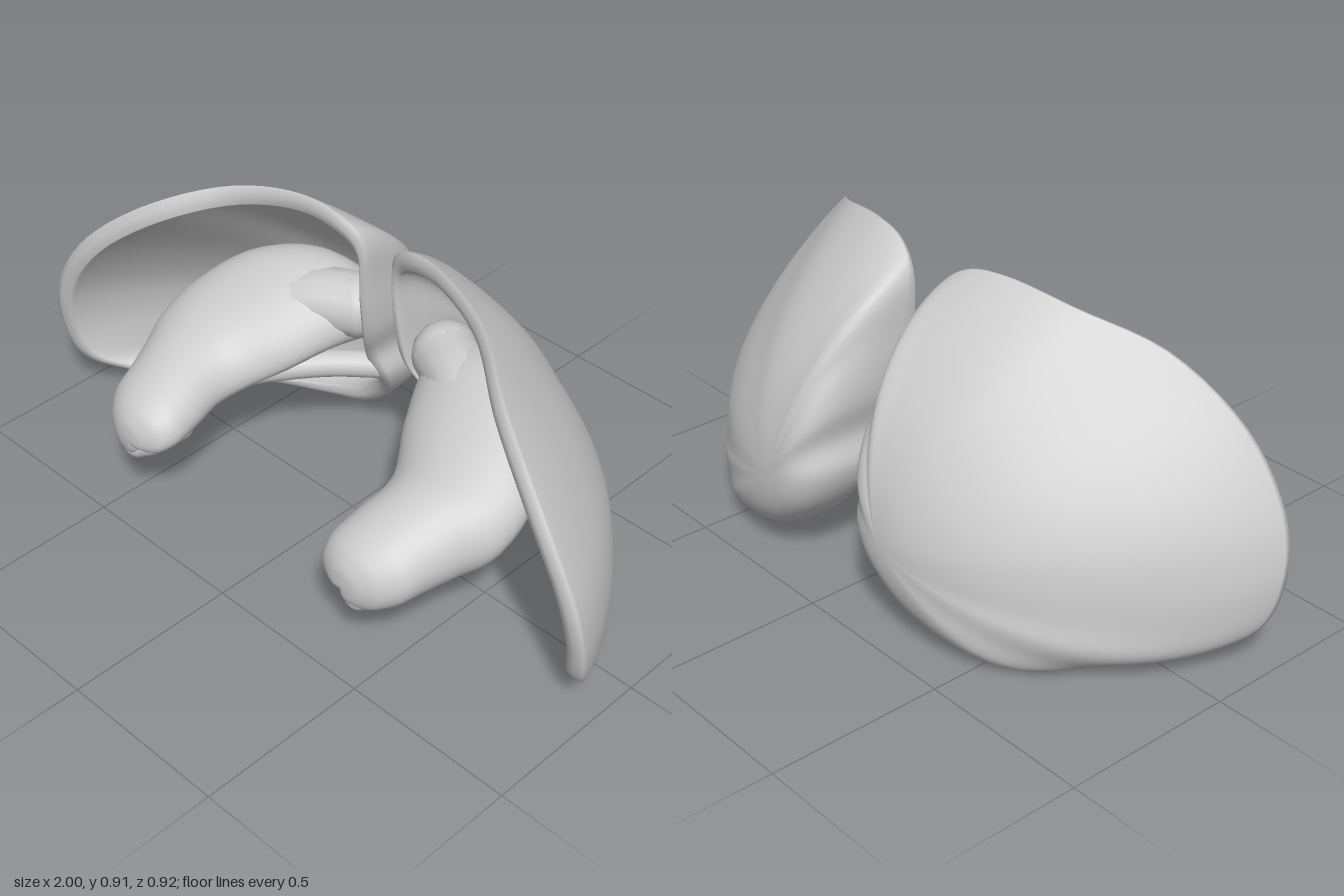
import * as THREE from 'three';
import { mergeVertices } from 'three/addons/utils/BufferGeometryUtils.js';

const material = new THREE.MeshStandardMaterial({ color: 0xcccccc, side: THREE.DoubleSide });
const V = (x, y, z) => new THREE.Vector3(x, y, z);

// Rim of one cupped half, clockwise seen from the front: x, y, z, roundness of the wall
const RIM = [
  [.06, .84, -.09, 1.3], [.13, .9, -.07, 1.75], [.25, .918, -.05, 2], [.45, .88, .01, 2],
  [.65, .79, .14, 1.9], [.85, .62, .22, 1.75], [.97, .43, .235, 1.65], [1, .28, .22, 1.6],
  [.975, .14, .18, 1.5], [.9, .07, .08, 1.3], [.75, .03, -.07, 1.1], [.6, .006, -.23, .95],
  [.4, .03, -.3, .85], [.25, .085, -.3, .75], [.12, .2, -.27, .65], [.065, .32, -.21, .6],
  [.08, .41, -.18, .6], [.055, .52, -.13, .65], [.05, .68, -.1, .9],
];
const BACK = V(.235, .28, -.462);

// Skin a list of closed rings; side = -1 mirrors across x
function loft(rings, side) {
  const n = rings[0].length, pos = [], idx = [];
  rings.forEach(r => r.forEach(p => pos.push(p.x * side, p.y, p.z)));
  for (let i = 0; i < rings.length - 1; i++) {
    for (let j = 0; j < n; j++) {
      const k = (j + 1) % n;
      const a = i * n + j, b = a + n, c = (i + 1) * n + k, d = i * n + k;
      if (side > 0) idx.push(a, b, c, a, c, d);
      else idx.push(a, c, b, a, d, c);
    }
  }
  let g = new THREE.BufferGeometry();
  g.setAttribute('position', new THREE.Float32BufferAttribute(pos, 3));
  g.setIndex(idx);
  g = mergeVertices(g, 1e-4);
  g.computeVertexNormals();
  return g;
}

// Bowl ring between the deepest point (t = 0) and the rim (t = 1)
function bowlRing(rim, round, apex, t) {
  const s = Math.sin(t * Math.PI / 2), c = Math.max(0, Math.cos(t * Math.PI / 2));
  return rim.map((p, j) => {
    const e = round[j];
    const f = Math.pow(s, THREE.MathUtils.clamp(e, .65, 1));
    const d = t === 1 ? 0 : Math.pow(c, e);
    return V(apex.x + (p.x - apex.x) * f, apex.y + (p.y - apex.y) * f, p.z + (apex.z - p.z) * d);
  });
}

// Cupped shell: outer skin, rounded lip, inner skin
function shellGeometry(side) {
  const N = 96, STEPS = 18;
  const curve = new THREE.CatmullRomCurve3(RIM.map(r => V(r[0], r[1], r[2])), true);
  const bulge = new THREE.CatmullRomCurve3(RIM.map(r => V(r[3], 0, 0)), true, 'catmullrom');
  const rim = [], round = [], lip = [], inner = [];
  for (let j = 0; j < N; j++) {
    const p = curve.getPoint(j / N);
    const inward = V(BACK.x - p.x, BACK.y - p.y, 0).normalize();
    rim.push(p);
    round.push(bulge.getPoint(j / N).x);
    lip.push(p.clone().addScaledVector(inward, .025).add(V(0, 0, .01)));
    inner.push(p.clone().addScaledVector(inward, .055));
  }
  const apex = BACK.clone().add(V(.03, .01, .08));
  const rings = [];
  for (let i = 0; i <= STEPS; i++) rings.push(bowlRing(rim, round, BACK, i / STEPS));
  rings.push(lip);
  for (let i = STEPS; i >= 0; i--) rings.push(bowlRing(inner, round, apex, i / STEPS));
  return loft(rings, side);
}

// Stalk rising from the bowl and arching forward, hollowed underneath:
// x, y, z, half width, half height
const STALK = [
  [.28, .4, -.33, .13, .13], [.32, .455, -.23, .2, .16], [.37, .465, -.11, .23, .155],
  [.43, .415, .02, .225, .14], [.47, .36, .14, .185, .135], [.46, .34, .22, .155, .13],
  [.44, .32, .3, .145, .12], [.425, .3, .38, .135, .105], [.415, .285, .43, .1, .085],
  [.415, .28, .457, .045, .045], [.415, .28, .462, 0, 0],
];
function stalkGeometry(side) {
  const N = 40, STEPS = 36;
  const path = new THREE.CatmullRomCurve3(STALK.map(s => V(s[0], s[1], s[2])));
  const size = new THREE.CatmullRomCurve3(STALK.map(s => V(s[3], s[4], 0)));
  const rings = [];
  for (let i = 0; i <= STEPS; i++) {
    const c = path.getPoint(i / STEPS), r = size.getPoint(i / STEPS), ring = [];
    for (let j = 0; j < N; j++) {
      const a = 2 * Math.PI * (1 - j / N);
      const k = 1 - .55 * Math.exp(-(((a - 4.1) / .5) ** 2));
      ring.push(V(c.x + r.x * Math.cos(a) * k, c.y + r.y * Math.sin(a) * k, c.z));
    }
    rings.push(ring);
  }
  return loft(rings, side);
}

// Folds joining the stalk to the inner edge of the bowl: radius, then path points
const FOLDS = {
  upperFold: [.095, [.165, .53, -.19], [.28, .52, -.13], [.42, .45, -.03]],
  lowerFold: [.04, [.12, .33, -.22], [.21, .34, -.12], [.33, .33, .02], [.4, .33, .15]],
  hook: [.042, [.36, .28, .32], [.39, .25, .38], [.43, .23, .41]],
};
function foldGeometry([radius, ...pts], side) {
  const curve = new THREE.CatmullRomCurve3(pts.map(p => V(p[0] * side, p[1], p[2])));
  return new THREE.TubeGeometry(curve, 16, radius, 14);
}

export function createModel() {
  const model = new THREE.Group();
  for (const side of [1, -1]) {
    const half = new THREE.Group();
    half.name = side > 0 ? 'leftHalf' : 'rightHalf';
    const add = (name, geometry) => {
      const mesh = new THREE.Mesh(geometry, material);
      mesh.name = name;
      half.add(mesh);
    };
    add('shell', shellGeometry(side));
    add('stalk', stalkGeometry(side));
    for (const name in FOLDS) {
      add(name, foldGeometry(FOLDS[name], side));
      // Rounded ends of the fold
      const [radius, ...pts] = FOLDS[name];
      for (const p of [pts[0], pts[pts.length - 1]]) {
        add(name + 'End', new THREE.SphereGeometry(radius, 14, 10).translate(p[0] * side, p[1], p[2]));
      }
    }
    model.add(half);
  }
  return model;
}
